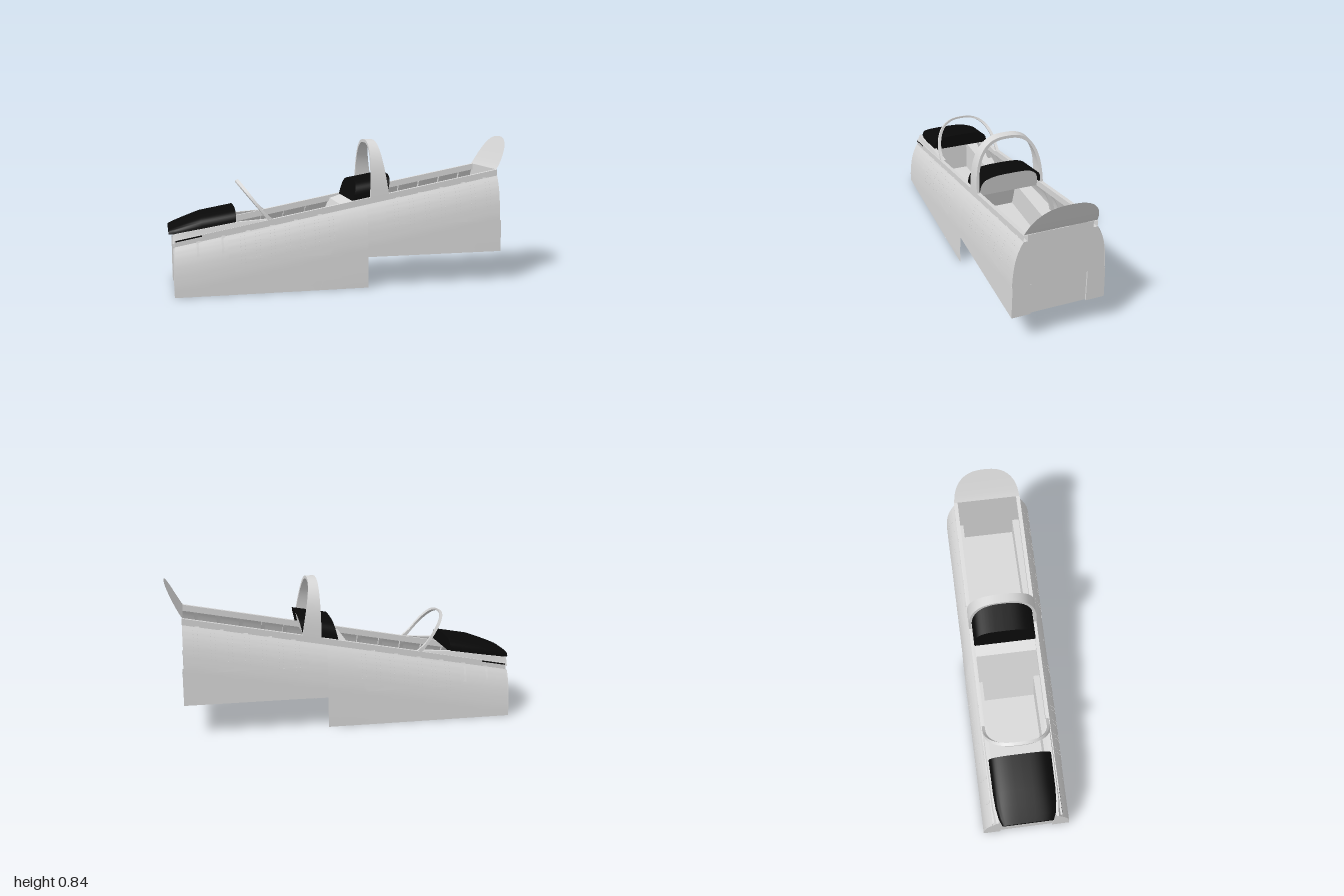
import * as THREE from 'three';
import { toCreasedNormals, mergeGeometries } from 'three/addons/utils/BufferGeometryUtils.js';

const grey = new THREE.MeshStandardMaterial({ color: 0xd8d8d8, side: THREE.DoubleSide });
grey.name = 'painted metal grey';
const black = new THREE.MeshStandardMaterial({ color: 0x090909, side: THREE.DoubleSide });
black.name = 'glare shield black';

const lerp = THREE.MathUtils.lerp;
const skinTop = x => 0.27 + 0.186 * (x + 0.97);      // sloping upper edge of the skin
const RAIL = 0.036, TUB = 0.157;                     // rail height, half width of the tub
const seamX = y => -0.17 + 0.15 * (y - 0.01) / 0.46; // leaning plane between the cockpits

// Half width of the hull against the depth below the skin's upper edge
const PROFILE = [[0, 0.2], [0.025, 0.214], [0.06, 0.229], [0.1, 0.241], [0.15, 0.25], [0.22, 0.257], [0.42, 0.262], [1, 0.262]];
function halfWidth(x, y) {
  const d = Math.max(0, skinTop(x) - y);
  for (let i = 1; i < PROFILE.length; i++) {
    const [a, za] = PROFILE[i - 1], [b, zb] = PROFILE[i];
    if (d <= b) return lerp(za, zb, (d - a) / (b - a));
  }
  return 0.262;
}

// Surface through rows of points; closed joins the last point of each row to the first
function loft(rows, closed = false, crease = 0.5) {
  const n = rows[0].length, index = [];
  for (let i = 0; i < rows.length - 1; i++) {
    for (let j = 0; j < (closed ? n : n - 1); j++) {
      const k = (j + 1) % n, a = i * n + j, b = i * n + k;
      index.push(a, b, a + n, b, b + n, a + n);
    }
  }
  const g = new THREE.BufferGeometry();
  g.setAttribute('position', new THREE.Float32BufferAttribute(rows.flat(2), 3));
  g.setIndex(index);
  return toCreasedNormals(g, crease);
}

const steps = (a, b, n) => Array.from({ length: n + 1 }, (_, i) => lerp(a, b, i / n));

// Strip of hull skin on one side, from yLow up to the skin's edge, raised by off
function skin(side, x0, x1, yLow, off = 0, xOf = x => x, count = 10) {
  return loft(steps(x0, x1, count).map(x => {
    const row = steps(0, 1, 22).map(t => {
      const y = lerp(yLow, skinTop(xOf(x, 0.4)), 1 - (1 - t) ** 1.6), px = xOf(x, y);
      return [px, y, side * (halfWidth(px, y) + off)];
    });
    const [px, y, z] = row[0];
    return off ? [[px, y, z - side * off], ...row] : row;
  }));
}

// Squared-off arch: list of [z, height fraction]
function arch(n = 28, p = 0.667) {
  return steps(0, Math.PI, n).map(t => {
    const c = Math.cos(t), s = Math.max(0, Math.sin(t));
    return [Math.sign(c) * Math.abs(c) ** p, s ** p];
  });
}

// Flat plate across the hull at x, shaped to the skin and notched for the rails
function endWall(x, y0) {
  const top = skinTop(x), half = steps(y0, top, 20).map(y => [halfWidth(x, y), y]);
  half.push([0.178, top], [0.178, top + RAIL]);
  return loft(half.map(([z, y]) => [[x, y, z], [x, y, -z]]));
}

// Raised plate on an end wall, between the tub and the skin
const flange = (s, x, xWall, y0, y1) => loft(steps(y0, y1, 10).map(y => {
  const z = halfWidth(xWall, y);
  return [[xWall, y, s * z], [x, y, s * z], [x, y, s * TUB], [xWall, y, s * TUB]];
}));

export function createModel() {
  const model = new THREE.Group();
  const add = (name, geometry, material = grey) => {
    const m = new THREE.Mesh(geometry, material);
    m.name = name;
    model.add(m);
    return m;
  };

  for (const s of [1, -1]) {
    // Outer skin, deeper under the first cockpit
    add('frontSkin', skin(s, -0.97, 0.11, 0));
    add('rearSkin', skin(s, 0.11, 0.91, 0.177));
    // Raised skin panels and the seam between the cockpits
    add('frontPanel', skin(s, -0.68, 0, 0.2, 0.004, (x, y) => lerp(-0.68, seamX(y), (x + 0.68) / 0.68)));
    add('rearPanel', skin(s, 0.22, 0.905, 0.36, 0.004));
    add('skinSeam', skin(s, -0.003, 0.003, 0.002, 0.005, (x, y) => seamX(y) + x, 1));
    // Sill rail
    add('sillRail', loft([-0.97, 0.91].map(x => {
      const y = skinTop(x);
      return [[x, y, s * 0.2], [x, y + RAIL, s * 0.2], [x, y + RAIL, s * 0.178], [x, y, s * 0.178]];
    }), true));
    // Cowl side under the windscreen, with its black strip
    add('cowlSide', loft([[-0.98, 0.335, 0.176], [-0.9, 0.35, 0.186], [-0.63, 0.395, 0.189], [-0.43, 0.408, 0.189]]
      .map(([x, y, z]) => [[x, skinTop(x) + 0.02, s * 0.197], [x, y, s * z], [x, y, s * 0.165]])));
    add('cowlStrip', loft([[-0.965, 0.297], [-0.82, 0.324]]
      .map(([x, y]) => [[x, y, s * 0.202], [x, y + 0.008, s * 0.202]])), black);
    // Tub side with a wide ledge reaching out to the skin
    for (const [name, x0, x1, floor, ledge] of [
      ['frontTubSide', () => -0.97, seamX, 0.03, 0.22], ['rearTubSide', seamX, () => 0.908, 0.205, 0.365]]) {
      add(name, loft(steps(0, 1, 8).map(t => [[floor, 0], [ledge, 0], [ledge, 1]].map(([y, out]) => {
        const x = lerp(x0(y), x1(y), t);
        return [x, y, s * (out ? halfWidth(x, y) : TUB)];
      }))));
    }
    // Ribs above the ledges
    for (const [x0, x1, ledge, n] of [[-0.84, -0.16, 0.22, 5], [0.3, 0.83, 0.365, 4]]) {
      for (const x of steps(x0, x1, n)) {
        add('rib', loft(steps(0, 1, 8).map(t => {
          const y = lerp(ledge, skinTop(x) + 0.005, t), z = halfWidth(x, y);
          return [[x - 0.012, y, s * z], [x - 0.012, y, s * (z - 0.022)], [x + 0.012, y, s * (z - 0.022)], [x + 0.012, y, s * z]];
        }), true));
      }
    }
    // Rows of rivets on the raised panels
    const rivets = [];
    for (const [x0, x1] of [[-0.6, -0.1], [0.28, 0.84]]) {
      for (const x of steps(x0, x1, 6)) for (const dx of [-0.012, 0.012]) for (const d of steps(0.02, 0.16, 8)) {
        const y = skinTop(x + dx) - d;
        const g = new THREE.BoxGeometry(0.003, 0.003, 0.003);
        g.translate(x + dx, y, s * (halfWidth(x + dx, y) + 0.0035));
        rivets.push(g);
      }
    }
    add('rivets', mergeGeometries(rivets));
    // Raised flanges on the end walls
    add('rearFlange', flange(s, 0.918, 0.908, 0.177, 0.36));
    add('noseFlange', flange(s, -0.978, -0.97, 0, 0.265));
  }

  // End walls, leaning bulkhead, floors and the deck behind the bulkhead
  add('noseWall', endWall(-0.97, 0));
  add('rearWall', endWall(0.908, 0.177));
  add('bulkhead', loft(steps(0, 0.465, 14).map(y => {
    const x = seamX(y), z = y > skinTop(x) ? 0.178 : halfWidth(x, y) - 0.003;
    return [[x, y, z], [x, y, -z]];
  })));
  const plate = (name, x0, y0, x1, y1, w) =>
    add(name, loft([[[x0, y0, w], [x0, y0, -w]], [[x1, y1, w], [x1, y1, -w]]]));
  plate('frontFloor', -0.97, 0.03, seamX(0.03), 0.03, TUB);
  plate('rearFloor', seamX(0.205), 0.205, 0.908, 0.205, TUB);
  plate('centreDeck', -0.022, 0.465, 0.06, 0.49, 0.178);

  // Windscreen cowl: arched sections [x, halfWidth, base, top], closed at both ends
  const cowl = [[-1, 0.145, 0.333, 0.36], [-0.96, 0.162, 0.335, 0.378], [-0.9, 0.173, 0.342, 0.402],
    [-0.82, 0.178, 0.355, 0.432], [-0.63, 0.18, 0.385, 0.466]]
    .map(([x, w, b, t]) => arch(24, 0.6).map(([z, f]) => [x, lerp(b, t, f), z * w]));
  const centreOf = (row, x, y) => row.map(() => [x, y, 0]);
  add('frontGlareShield', loft([centreOf(cowl[0], -1, 0.333), ...cowl, centreOf(cowl[0], -0.63, 0.385)]), black);

  // Second glare shield, leaning back, with a grey instrument panel inside its rear opening
  const shield = [[0.038, 0.066, 0.49, 0.602], [0.242, 0.268, 0.532, 0.637]]
    .map(([xb, xt, b, t]) => arch(24, 0.6).map(([z, f]) => [lerp(xb, xt, f), lerp(b, t, f), z * 0.181]));
  add('rearGlareShield', loft([centreOf(shield[0], 0.038, 0.49), ...shield]), black);
  add('instrumentPanel', loft([centreOf(shield[0], 0.222, 0.5),
    arch(24, 0.6).map(([z, f]) => [lerp(0.222, 0.248, f), lerp(0.5, 0.628, f), z * 0.172])]));

  // Roll hoop: a flat arched band, wider at its feet
  add('rollHoop', loft(arch(40, 0.75).map(([z, f]) => {
    const x0 = lerp(0.138, 0.145, f), x1 = lerp(0.25, 0.196, f);
    const yo = lerp(0.51, 0.832, f), yi = lerp(0.51, 0.815, f);
    return [[x0, yo, z * 0.2], [x1, yo, z * 0.2], [x1, yi, z * 0.184], [x0, yi, z * 0.184]];
  }), true));

  // Windscreen frame: a slim arch leaning forward, with feet on the rail
  add('windscreenFrame', loft(arch(36, 0.8).map(([z, f]) => {
    const x = lerp(-0.455, -0.612, f), y = lerp(0.4, 0.605, f), w = lerp(0.035, 0.017, Math.min(1, f * 4));
    return [[x, y, z * 0.195], [x + w, y + 0.006 * f, z * 0.195], [x + w, y - 0.006 * f, z * 0.178], [x, y - 0.012 * f, z * 0.178]];
  }), true));

  // Tilted rear head plate
  add('rearHeadPlate', loft(steps(0, 1, 20).map(t => {
    const y = lerp(0.656, 0.84, 1 - (1 - t) ** 2);
    const z = 0.2 * Math.max(0, 1 - ((y - 0.6) / 0.24) ** 2.5) ** 0.4;
    const x = 0.905 + 0.095 * ((y - 0.656) / 0.184) ** 0.9;
    return [[x, y, z], [x, y, -z]];
  })));

  return model;
}
